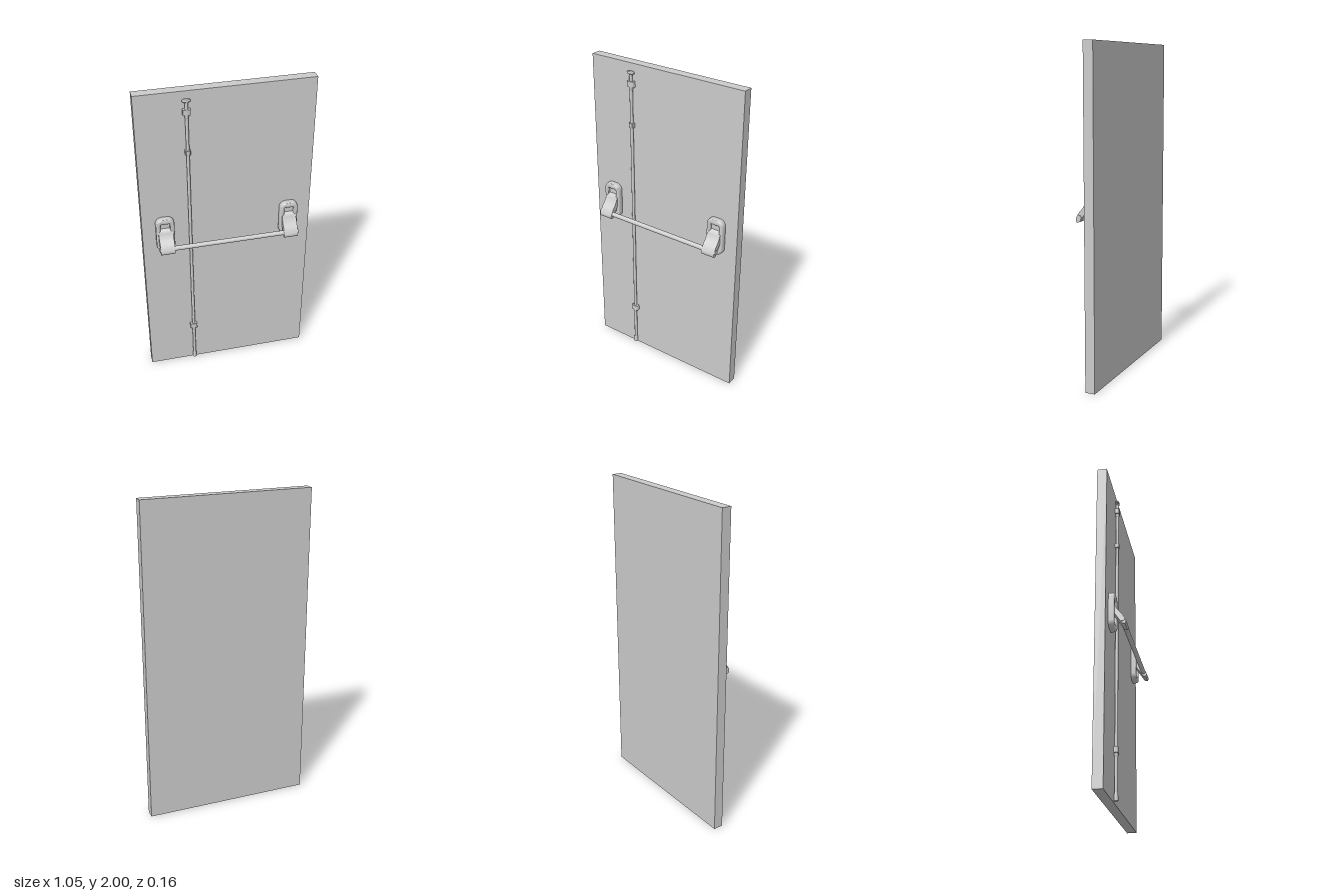
import * as THREE from 'three';
import { toCreasedNormals } from 'three/addons/utils/BufferGeometryUtils.js';

const grey = new THREE.MeshStandardMaterial({ color: 0xcccccc });
const DOOR_FACE = -0.022;
const ROD_X = -0.23, ROD_Z = -0.0105;

function add(parent, name, geometry, x = 0, y = 0, z = 0) {
  const mesh = new THREE.Mesh(geometry, grey);
  mesh.name = name;
  mesh.position.set(x, y, z);
  parent.add(mesh);
  return mesh;
}

// Rounded rectangle centred on x, spanning y0..y1
function roundedRect(path, w, y0, y1, r) {
  const h = w / 2;
  path.moveTo(-h + r, y0);
  path.lineTo(h - r, y0);
  path.absarc(h - r, y0 + r, r, -Math.PI / 2, 0);
  path.lineTo(h, y1 - r);
  path.absarc(h - r, y1 - r, r, 0, Math.PI / 2);
  path.lineTo(-h + r, y1);
  path.absarc(-h + r, y1 - r, r, Math.PI / 2, Math.PI);
  path.lineTo(-h, y0 + r);
  path.absarc(-h + r, y0 + r, r, Math.PI, Math.PI * 1.5);
  return path;
}

function extrude(shape, depth, options = {}) {
  const g = new THREE.ExtrudeGeometry(shape, { depth, bevelEnabled: false, curveSegments: 8, ...options });
  return toCreasedNormals(g, 0.6);
}

// Housing with a rounded front edge and a recessed window the arm swings out of
function housing() {
  const group = new THREE.Group();
  group.name = 'housing';
  const bevel = 0.011;
  const shape = roundedRect(new THREE.Shape(), 0.112 - 2 * bevel, 0.962 + bevel, 1.192 - bevel, 0.028);
  shape.holes.push(roundedRect(new THREE.Path(), 0.066 + 2 * bevel - 0.01, 0.99, 1.166, 0.015));
  const shell = extrude(shape, 0.024, {
    bevelEnabled: true, bevelSize: bevel, bevelThickness: bevel, bevelSegments: 4,
  });
  // Square off the rear bevel against the door
  add(group, 'housingShell', shell, 0, 0, DOOR_FACE);
  const floor = roundedRect(new THREE.Shape(), 0.096, 0.97, 1.184, 0.03);
  add(group, 'housingFloor', extrude(floor, 0.018), 0, 0, DOOR_FACE);
  return group;
}

// Curved lever arm: side profile drawn as (z, y), extruded across its width
function arm() {
  const width = 0.088;
  const s = new THREE.Shape();
  s.moveTo(-0.005, 1.12);
  s.quadraticCurveTo(0.012, 1.115, 0.02, 1.09);
  s.quadraticCurveTo(0.034, 1.062, 0.056, 1.042);
  s.lineTo(0.076, 1.008);
  s.quadraticCurveTo(0.084, 0.99, 0.073, 0.98);
  s.quadraticCurveTo(0.062, 0.977, 0.054, 0.985);
  s.lineTo(0.012, 1.048);
  s.quadraticCurveTo(0.004, 1.06, -0.005, 1.062);
  const g = extrude(s, width);
  g.rotateY(-Math.PI / 2);
  g.translate(width / 2, 0, 0);
  return g;
}

// Turned profile as [radius, y] pairs
function turned(points) {
  const g = new THREE.LatheGeometry(points.map(([r, y]) => new THREE.Vector2(r, y)), 20);
  return toCreasedNormals(g, 0.6);
}

// Strap guide: a D-shaped block hugging the rod
function guide(width, height) {
  const h = width / 2, front = 0.024, r = 0.008;
  const s = new THREE.Shape();
  s.moveTo(-h, 0);
  s.lineTo(-h, front - r);
  s.absarc(-h + r, front - r, r, Math.PI, Math.PI / 2, true);
  s.lineTo(h - r, front);
  s.absarc(h - r, front - r, r, Math.PI / 2, 0, true);
  s.lineTo(h, 0);
  const g = extrude(s, height);
  g.rotateX(Math.PI / 2);
  g.translate(0, height / 2, 0);
  return g;
}

export function createModel() {
  const model = new THREE.Group();
  model.name = 'panicDoor';

  add(model, 'doorLeaf', new THREE.BoxGeometry(1.046, 2, 0.06), 0, 1, -0.052);

  // Two mirrored lever units joined by the push bar
  for (const side of [-1, 1]) {
    const unit = new THREE.Group();
    unit.name = side < 0 ? 'rightLeverUnit' : 'leftLeverUnit';
    unit.position.x = side * 0.385;
    unit.add(housing());
    add(unit, 'leverArm', arm());
    model.add(unit);
  }
  const bar = new THREE.CylinderGeometry(0.0145, 0.0145, 0.868, 24);
  bar.rotateZ(Math.PI / 2);
  add(model, 'pushBar', bar, 0, 1.008, 0.058);

  // Vertical latch rod with its guides
  const latch = new THREE.Group();
  latch.name = 'verticalLatch';
  latch.position.set(ROD_X, 0, ROD_Z);
  model.add(latch);
  add(latch, 'latchRod', new THREE.CylinderGeometry(0.0095, 0.0095, 1.93, 20), 0, 0.98, 0);
  for (const y of [0.295, 1.878]) add(latch, 'rodGuide', guide(0.044, 0.035), 0, y, DOOR_FACE - ROD_Z);
  add(latch, 'rodCoupling', guide(0.032, 0.028), 0, 1.622, DOOR_FACE - ROD_Z);

  // Collars under the guides, bottom foot and top bolt head
  const collar = turned([[0.0095, -0.025], [0.0125, -0.015], [0.0125, 0]]);
  for (const y of [0.281, 1.864]) add(latch, 'rodCollar', collar, 0, y, 0);
  add(latch, 'rodFoot', turned([[0, 0.01], [0.0125, 0.01], [0.0125, 0.035], [0.0095, 0.06]]));
  const head = turned([[0.0095, 1.925], [0.013, 1.936], [0.025, 1.942], [0.026, 1.948], [0.02, 1.955], [0, 1.957]]);
  add(latch, 'boltHead', head).scale.z = 0.5;

  return model;
}
